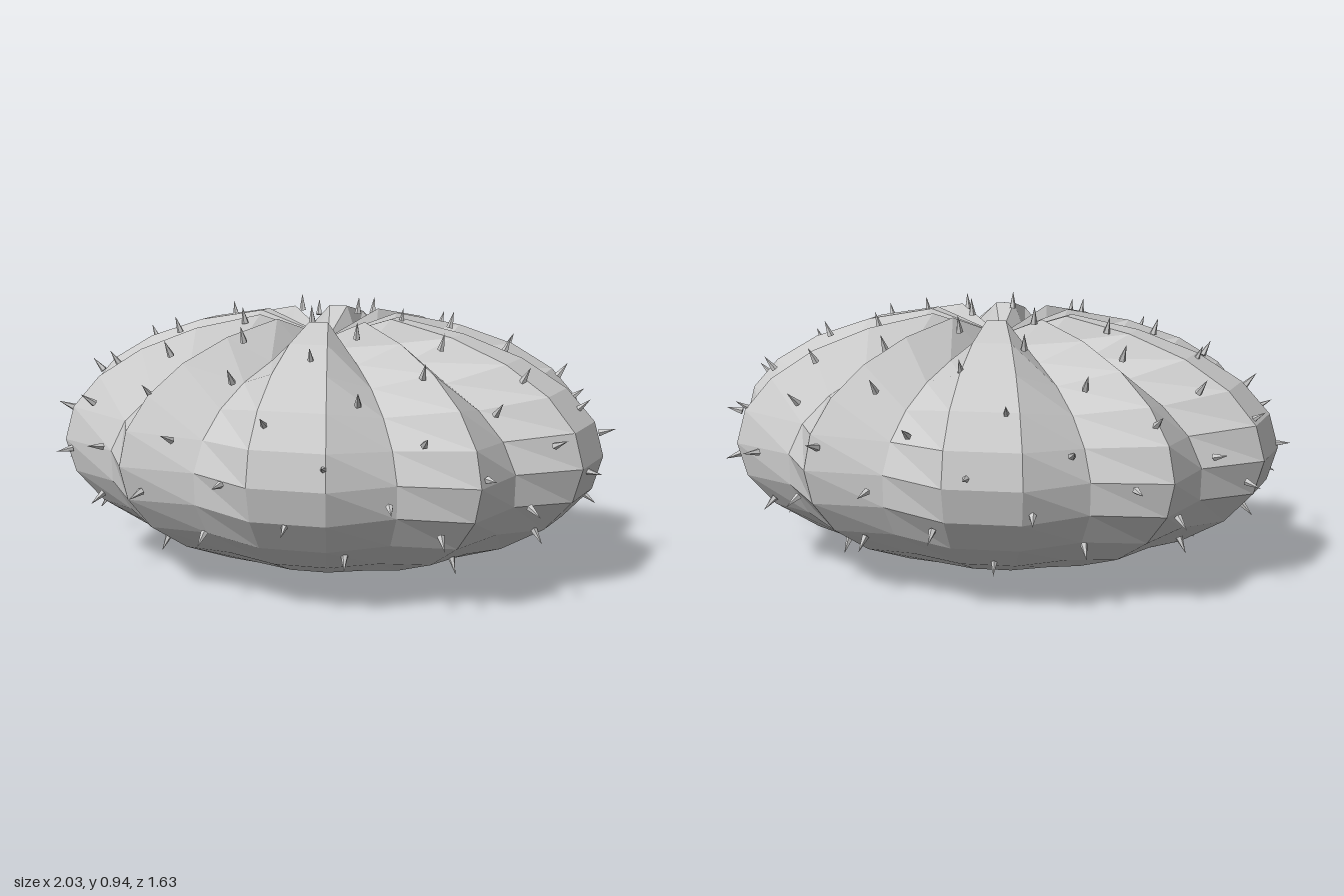
import * as THREE from 'three';

const CENTRE = new THREE.Vector3(0.009, 0.457, -0.005);
const RADII = new THREE.Vector3(0.985, 0.452, 0.78);
const SEGMENTS = 24, RIBS = 10;

const material = new THREE.MeshStandardMaterial({
  color: 0xcccccc, flatShading: true, side: THREE.DoubleSide,
});

// Flattened low-poly sphere: grooves fade out at the base and deepen to the crown
function createBody() {
  const geometry = new THREE.SphereGeometry(1, SEGMENTS, 12);
  const position = geometry.attributes.position;
  const p = new THREE.Vector3();
  for (let i = 0; i < position.count; i++) {
    p.fromBufferAttribute(position, i);
    const step = Math.round(Math.atan2(p.z, p.x) / (2 * Math.PI) * SEGMENTS) + SEGMENTS;
    const inGroove = (step * RIBS) % SEGMENTS > SEGMENTS / 2;
    const isCrown = p.y > 0.999;
    if (inGroove || isCrown) p.multiplyScalar(1 - 0.11 * (1 + p.y));
    p.multiply(RADII).add(CENTRE);
    position.setXYZ(i, p.x, p.y, p.z);
  }
  geometry.computeVertexNormals();
  const body = new THREE.Mesh(geometry, material);
  body.name = 'ribbedBody';
  return body;
}

// Small cones in a golden-angle spiral, denser at the top, along the surface normal
function createSpines(count = 90) {
  const spines = new THREE.Group();
  spines.name = 'spines';
  const geometry = new THREE.ConeGeometry(0.013, 0.06, 5);
  const up = new THREE.Vector3(0, 1, 0);
  const golden = Math.PI * (3 - Math.sqrt(5));
  for (let i = 1; i <= count; i++) {
    const y = 1 - 1.74 * Math.pow(i / count, 1.2);
    const r = Math.sqrt(1 - y * y);
    const a = 3.1 + i * golden;
    const unit = new THREE.Vector3(r * Math.cos(a), y, r * Math.sin(a));
    const normal = unit.clone().divide(RADII).normalize();
    const spine = new THREE.Mesh(geometry, material);
    spine.name = 'spine';
    spine.position.copy(unit).multiply(RADII).add(CENTRE).addScaledVector(normal, 0.012);
    spine.quaternion.setFromUnitVectors(up, normal);
    spines.add(spine);
  }
  return spines;
}

export function createModel() {
  const model = new THREE.Group();
  model.name = 'spinyRibbedCactus';
  model.add(createBody(), createSpines());
  return model;
}
